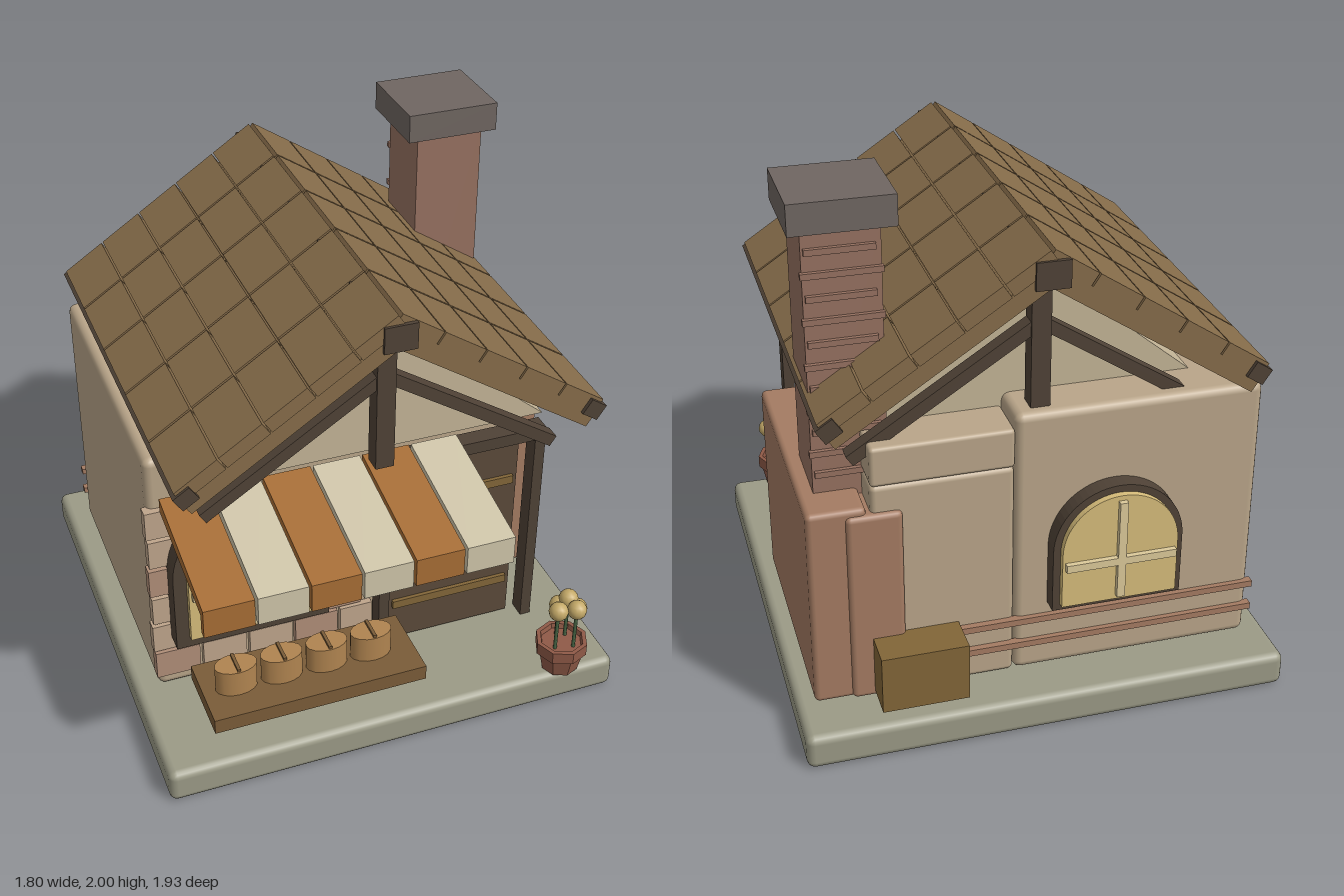
import * as THREE from 'three';
import { RoundedBoxGeometry } from 'three/addons/geometries/RoundedBoxGeometry.js';

const paint = (color) => new THREE.MeshStandardMaterial({ color });
const M = {
  stone: paint(0x9b9a86), wall: paint(0xb9a589), gable: paint(0xc3b496), brick: paint(0xa47b62),
  brickPale: paint(0xbfa58b), brickPink: paint(0xb08e78), chimney: paint(0x967160), cap: paint(0x6f6661),
  roof: paint(0x866c4a), dark: paint(0x4f4236), door: paint(0x5a4a3a), strap: paint(0x826638),
  glass: paint(0xd6bc7a), bar: paint(0xdcc99a), orange: paint(0xa66d35), cream: paint(0xcec4a8),
  shelf: paint(0x7a5c38), bread: paint(0xb08450), pot: paint(0x8f5a47), green: paint(0x4c6a48),
  flower: paint(0xc4a968), knob: paint(0xd0b765),
};

export function createModel() {
  const model = new THREE.Group();

  const add = (name, geo, mat, parent = model) => {
    const mesh = new THREE.Mesh(geo, mat);
    mesh.name = name;
    parent.add(mesh);
    return mesh;
  };
  const group = (name, parent = model) => {
    const g = new THREE.Group();
    g.name = name;
    parent.add(g);
    return g;
  };
  // Box from its limits; r rounds the edges
  const box = (name, mat, x0, x1, y0, y1, z0, z1, parent = model, r = 0) => {
    const s = [x1 - x0, y1 - y0, z1 - z0];
    const geo = r ? new RoundedBoxGeometry(...s, 2, r) : new THREE.BoxGeometry(...s);
    const mesh = add(name, geo, mat, parent);
    mesh.position.set((x0 + x1) / 2, (y0 + y1) / 2, (z0 + z1) / 2);
    return mesh;
  };

  // Base and walls
  box('baseSlab', M.stone, -0.9, 0.9, 0, 0.135, -0.96, 0.84, model, 0.03);
  box('mainWall', M.wall, -0.81, 0.1, 0.14, 1.2, -0.78, 0.38, model, 0.03);
  box('sideWall', M.wall, 0.1, 0.61, 0.14, 1.0, -0.775, 0.38, model, 0.02);
  box('sideWallTop', M.wall, 0.1, 0.61, 1.0, 1.15, -0.78, 0.38, model, 0.015);

  // Gable prism under the roof
  const tri = new THREE.Shape([[-0.68, 1.13], [0.68, 1.13], [0, 1.69]].map((p) => new THREE.Vector2(...p)));
  add('gable', new THREE.ExtrudeGeometry(tri, { depth: 1.09, bevelEnabled: false }), M.gable).position.z = -0.6;

  // Staggered bricks on the front wall
  const bricks = group('frontBricks');
  for (let row = 0; row < 6; row++) {
    const y = 0.21 + row * 0.133;
    const shift = row % 2 ? 0.09 : 0;
    for (let i = 0; i < 5; i++) {
      const x0 = Math.max(-0.825, -0.82 + i * 0.185 - shift);
      const x1 = Math.min(0.05, -0.82 + i * 0.185 - shift + 0.172);
      if (x1 - x0 < 0.03) continue;
      box('brick', (i * 2 + row) % 3 ? M.brickPale : M.brickPink, x0, x1, y, y + 0.118, 0.36, 0.405, bricks);
    }
  }

  // Brick hearth block and chimney
  box('hearthBlock', M.brick, 0.625, 0.835, 0.145, 0.925, -0.78, 0.17, model, 0.02);
  box('hearthBack', M.brick, 0.5, 0.7, 0.145, 0.9, -0.795, -0.4, model, 0.02);
  const chimney = group('chimney');
  box('stack', M.chimney, 0.515, 0.78, 0.85, 1.9, -0.635, -0.36, chimney);
  box('chimneyCap', M.cap, 0.465, 0.825, 1.89, 2.0, -0.67, -0.325, chimney);
  for (let i = 0; i < 11; i++) {
    const x = i % 2 ? 0.51 : 0.535;
    box('course', M.chimney, x, x + 0.277 - (i % 2 ? 0 : 0.04), 0.99 + i * 0.082, 1.012 + i * 0.082, -0.65, -0.63, chimney);
  }

  // Roof: each half is built flat along its slope, then tilted
  const pitch = Math.atan(0.66);
  const roof = group('roof');
  roof.position.set(0, 1.83, -0.06);
  for (const turn of [0, Math.PI]) {
    const side = group('roofSide', roof);
    side.rotation.y = turn;
    const slope = group('roofSlope', side);
    slope.rotation.z = -pitch;
    box('roofBoard', M.roof, 0.07, 0.955, -0.118, -0.05, -0.78, 0.78, slope);
    box('eaveBeam', M.dark, 0.895, 0.965, -0.075, -0.012, -0.795, 0.795, slope);
    for (let i = 0; i < 5; i++) {
      for (let j = 0; j < 5; j++) {
        const s = 0.01 + i * 0.189, z = -0.785 + j * 0.315;
        box('tile', M.roof, s, s + 0.182, -0.055, 0, z, z + 0.305, slope);
      }
    }
  }
  box('ridgeBeam', M.dark, -0.06, 0.06, 1.69, 1.79, -0.855, 0.735);

  // Timber trusses at both ends
  for (const z of [0.585, -0.7]) {
    const truss = group('truss');
    truss.position.z = z;
    box('kingPost', M.dark, -0.035, 0.035, 1.14, 1.7, -0.035, 0.035, truss);
    for (const s of [-1, 1]) {
      const brace = add('brace', new THREE.BoxGeometry(0.79, 0.045, 0.055), M.dark, truss);
      brace.position.set(s * 0.335, 1.3, 0);
      brace.rotation.z = -s * 0.575;
    }
  }

  // Arched windows, facing local +z with the sill at y = 0
  const arch = (r, h, y0 = 0) => {
    const s = new THREE.Shape();
    s.moveTo(-r, y0);
    s.lineTo(r, y0);
    s.lineTo(r, h);
    s.absarc(0, h, r, 0, Math.PI, false);
    s.closePath();
    return s;
  };
  const solid = (shape, depth) => new THREE.ExtrudeGeometry(shape, { depth, bevelEnabled: false, curveSegments: 16 });
  const archWindow = (name, r, h, rim, depth) => {
    const w = group(name);
    const frame = arch(r + rim, h, -rim);
    frame.holes.push(arch(r - 0.005, h, 0.005));
    add('windowFrame', solid(frame, depth), M.dark, w);
    add('windowPane', solid(arch(r, h), 0.025), M.glass, w).position.z = depth;
    add('windowBacking', solid(arch(r, h), depth), M.glass, w);
    box('mullion', M.bar, -0.015, 0.015, 0.02, h + r - 0.02, depth + 0.02, depth + 0.045, w);
    box('transom', M.bar, -r + 0.01, r - 0.01, h * 0.72, h * 0.72 + 0.03, depth + 0.02, depth + 0.045, w);
    return w;
  };
  archWindow('frontWindow', 0.25, 0.27, 0.05, 0.09).position.set(-0.455, 0.45, 0.39);
  const backWindow = archWindow('backWindow', 0.215, 0.215, 0.027, 0.065);
  backWindow.position.set(-0.265, 0.45, -0.778);
  backWindow.rotation.y = Math.PI;

  // Door and its frame
  const door = group('door');
  box('doorLeaf', M.door, 0.095, 0.62, 0.15, 0.99, 0.375, 0.44, door);
  for (const y of [0.31, 0.8]) box('doorStrap', M.strap, 0.12, 0.6, y, y + 0.035, 0.43, 0.455, door);
  box('doorKnob', M.knob, 0.522, 0.558, 0.552, 0.588, 0.43, 0.475, door);
  for (const x of [0.05, 0.668]) box('doorPost', M.dark, x, x + 0.042, 0.13, 1.05, 0.41, 0.48, door);
  box('doorLintel', M.dark, 0.05, 0.71, 1.0, 1.05, 0.41, 0.48, door);

  // Striped awning: sloping top with a hanging flap
  const profile = new THREE.Shape([[0.45, 1.085], [0.967, 0.992], [0.967, 0.88], [0.937, 0.88], [0.937, 0.955], [0.45, 1.03]]
    .map(([z, y]) => new THREE.Vector2(-z, y)));
  const awning = group('awning');
  for (let i = 0; i < 6; i++) {
    const stripe = add('awningStripe', solid(profile, 0.18), i % 2 ? M.cream : M.orange, awning);
    stripe.rotation.y = Math.PI / 2;
    stripe.position.x = -0.778 + i * 0.19;
  }

  // Counter shelf with loaves
  box('counterShelf', M.shelf, -0.745, 0.055, 0.385, 0.445, 0.63, 0.925);
  for (let i = 0; i < 4; i++) {
    const loaf = group('loaf');
    loaf.position.set(-0.62 + i * 0.171, 0.445, 0.78);
    const body = add('loafBody', new THREE.CylinderGeometry(0.078, 0.078, 0.105, 16), M.bread, loaf);
    body.position.y = 0.052;
    body.scale.z = 0.65;
    box('loafScore', M.shelf, -0.006, 0.006, 0.1, 0.115, -0.045, 0.045, loaf);
  }

  // Potted flowers
  const planter = group('planter');
  planter.position.set(0.685, 0.135, 0.79);
  const potGeo = new THREE.LatheGeometry([[0, 0], [0.072, 0], [0.09, 0.085], [0.102, 0.085], [0.102, 0.135], [0.085, 0.135], [0.08, 0.115], [0, 0.115]]
    .map((p) => new THREE.Vector2(...p)), 8).toNonIndexed();
  potGeo.computeVertexNormals();
  add('flowerPot', potGeo, M.pot, planter);
  for (const [x, y, z] of [[-0.04, 0.3, 0.025], [0.03, 0.3, 0.04], [0.055, 0.27, 0], [0, 0.265, -0.045], [0.03, 0.3, -0.03]]) {
    const stem = add('stem', new THREE.CylinderGeometry(0.007, 0.007, y - 0.1, 6), M.green, planter);
    stem.position.set(x, (y + 0.1) / 2, z);
    add('blossom', new THREE.SphereGeometry(0.038, 12, 8), M.flower, planter).position.set(x, y, z);
  }

  // Crate and rails at the back
  box('crate', M.strap, 0.305, 0.62, 0.17, 0.395, -0.925, -0.77);
  for (const y of [0.25, 0.35]) box('backRail', M.brick, -0.82, 0.32, y, y + 0.025, -0.8, -0.77);

  return model;
}
